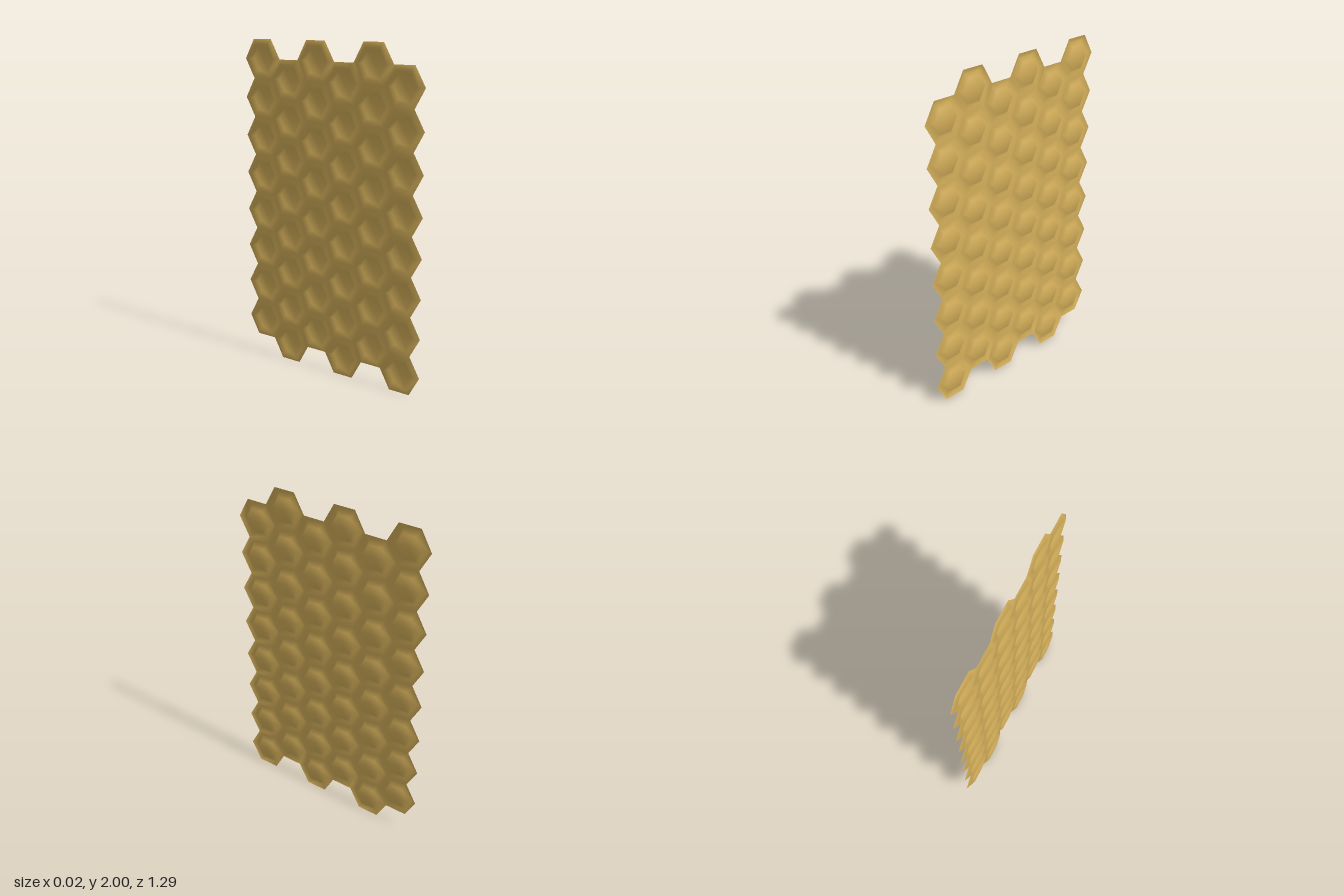
import * as THREE from 'three';
import { mergeVertices } from 'three/addons/utils/BufferGeometryUtils.js';

const COLUMNS = 6, ROWS = 8;
const PITCH = 2 / (ROWS + 0.5);        // cell height
const R = PITCH / Math.sqrt(3);        // cell corner radius

// Cell profile from rim to centre: [corner radius, x]
const PROFILE = [[R, 0.003], [0.102, -0.011], [0.077, 0.010], [0, 0.011]];

// Adds the triangles of one hexagonal cell facing +x
function addCell(out, y, z) {
  const point = ([r, x], k) => {
    const a = (k * Math.PI) / 3;
    return [x, y + r * Math.sin(a), z - r * Math.cos(a)];
  };
  for (let i = 0; i < PROFILE.length - 1; i++) {
    for (let k = 0; k < 6; k++) {
      const a = point(PROFILE[i], k), b = point(PROFILE[i], k + 1);
      const c = point(PROFILE[i + 1], k + 1), d = point(PROFILE[i + 1], k);
      out.push(...a, ...b, ...c);
      if (PROFILE[i + 1][0] > 0) out.push(...a, ...c, ...d);
    }
  }
}

export function createModel() {
  const group = new THREE.Group();
  group.name = 'honeycombPanel';
  const wax = new THREE.MeshStandardMaterial({ color: 0xd4af5a, side: THREE.DoubleSide });
  wax.name = 'honey gold';

  // Staggered columns of cells, welded so the shading runs across the rims
  const positions = [];
  for (let c = 0; c < COLUMNS; c++) {
    const z = ((COLUMNS - 1) / 2 - c) * 1.5 * R;
    for (let r = 0; r < ROWS; r++) addCell(positions, PITCH * (r + 0.5 + (c % 2) / 2), z);
  }
  let geometry = new THREE.BufferGeometry();
  geometry.setAttribute('position', new THREE.Float32BufferAttribute(positions, 3));
  geometry = mergeVertices(geometry, 1e-4);
  geometry.computeVertexNormals();

  const sheet = new THREE.Mesh(geometry, wax);
  sheet.name = 'cellSheet';
  group.add(sheet);
  return group;
}
